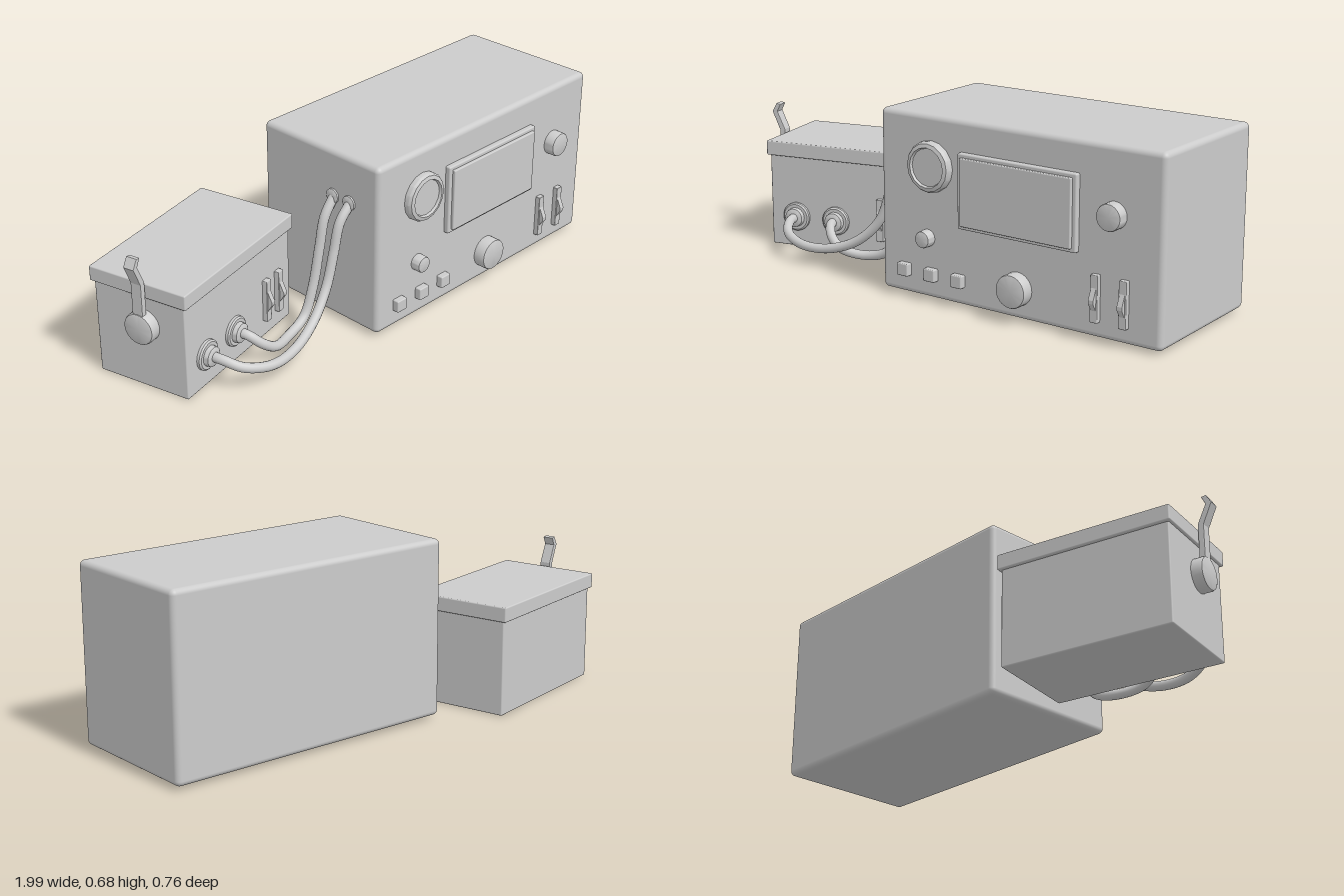
import * as THREE from 'three';
import { RoundedBoxGeometry } from 'three/addons/geometries/RoundedBoxGeometry.js';
import { toCreasedNormals } from 'three/addons/utils/BufferGeometryUtils.js';

const mat = new THREE.MeshStandardMaterial({ color: 0xcccccc, roughness: 0.7 });

function add(parent, name, geometry, x = 0, y = 0, z = 0) {
  const mesh = new THREE.Mesh(geometry, mat);
  mesh.name = name;
  mesh.position.set(x, y, z);
  parent.add(mesh);
  return mesh;
}

const rbox = (w, h, d, r, seg = 3) => new RoundedBoxGeometry(w, h, d, seg, r);

// Solid of revolution whose axis points along +z; profile is [radius, height] pairs
function turned(profile, sides = 32) {
  const g = new THREE.LatheGeometry(profile.map(([r, h]) => new THREE.Vector2(r, h)), sides);
  g.rotateX(Math.PI / 2);
  return toCreasedNormals(g, 0.6);
}

// Round knob with a softened front edge
const knob = (r, d, b = 0.007) => turned([
  [r, 0], [r, d - b], [r - b * 0.3, d - b * 0.3], [r - b, d], [0, d],
]);

// Switch plate with a wedge-shaped lever; origin on the panel
function addSwitch(parent, name, x, y, z) {
  const g = new THREE.Group();
  g.name = name;
  g.position.set(x, y, z);
  add(g, 'switchPlate', rbox(0.03, 0.166, 0.03, 0.003, 1), 0, 0, 0.004);
  const s = new THREE.Shape([[0.016, -0.045], [0.036, -0.012], [0.036, 0.0], [0.016, 0.045]]
    .map(([a, b]) => new THREE.Vector2(a, b)));
  const lever = new THREE.ExtrudeGeometry(s, { depth: 0.02, bevelEnabled: false });
  lever.translate(0, 0, -0.01);
  lever.rotateY(-Math.PI / 2);
  add(g, 'switchLever', lever);
  parent.add(g);
}

function makeConsole() {
  const g = new THREE.Group();
  g.name = 'console';
  const front = 0.333;
  add(g, 'cabinet', rbox(1.16, 0.665, 0.566, 0.02, 4), 0.412, 0.345, 0.05);

  // Raised display
  add(g, 'displayFrame', rbox(0.486, 0.27, 0.04, 0.006, 2), 0.427, 0.43, front);
  add(g, 'displayPanel', rbox(0.456, 0.242, 0.03, 0.004, 2), 0.427, 0.43, front + 0.017);

  // Large faceted dial with a recessed face
  add(g, 'dialRing', turned([
    [0.092, 0], [0.092, 0.018], [0.086, 0.028], [0.072, 0.032], [0.068, 0.022], [0, 0.022],
  ], 16), 0.058, 0.495, front);

  // Knobs: x, y, radius, depth
  [[0.805, 0.445, 0.047, 0.043], [0.425, 0.12, 0.06, 0.047], [0.04, 0.233, 0.031, 0.038]]
    .forEach(([x, y, r, d]) => add(g, 'knob', knob(r, d), x, y, front));

  // Row of push buttons
  for (let i = 0; i < 3; i++) {
    add(g, 'pushButton', rbox(0.048, 0.046, 0.05, 0.004, 2), -0.06 + i * 0.119, 0.102, front);
  }

  for (const x of [0.742, 0.852]) addSwitch(g, 'toggleSwitch', x, 0.152, front);

  // Hose sockets in the left-hand end
  for (const z of [0.195, 0.115]) {
    const socket = add(g, 'hoseSocket', turned([[0.028, 0], [0.028, 0.008], [0.022, 0.012], [0, 0.012]]), -0.167, 0.5, z);
    socket.rotation.y = -Math.PI / 2;
  }
  return g;
}

function makeSupplyBox() {
  const g = new THREE.Group();
  g.name = 'supplyBox';
  g.position.set(-0.624, 0, -0.115);
  g.rotation.y = 0.2376;
  add(g, 'boxBody', rbox(0.64, 0.39, 0.37, 0.005, 2), 0, 0.195, 0);
  add(g, 'boxLid', rbox(0.66, 0.057, 0.396, 0.005, 2), 0, 0.39, 0);

  // Stepped hose connectors
  for (const x of [-0.208, -0.036]) {
    add(g, 'hoseConnector', turned([
      [0.056, 0], [0.056, 0.012], [0.05, 0.017], [0.038, 0.017], [0.036, 0.034], [0.03, 0.038], [0, 0.038],
    ]), x, 0.122, 0.183);
  }
  for (const x of [0.159, 0.237]) addSwitch(g, 'boxSwitch', x, 0.147, 0.185);

  // Crank lever on the left-hand end
  const hub = add(g, 'leverHub', knob(0.06, 0.046, 0.01), -0.316, 0.25, 0.02);
  hub.rotation.y = -Math.PI / 2;
  const outline = [
    [-0.338, 0.25], [-0.338, 0.43], [-0.37, 0.5], [-0.356, 0.528],
    [-0.368, 0.53], [-0.386, 0.5], [-0.354, 0.427], [-0.354, 0.25],
  ].map(([x, y]) => new THREE.Vector2(x, y));
  const arm = new THREE.ExtrudeGeometry(new THREE.Shape(outline), {
    depth: 0.036, bevelEnabled: true, bevelThickness: 0.003, bevelSize: 0.003, bevelSegments: 2,
  });
  add(g, 'leverArm', arm, 0, 0, 0.002);
  return g;
}

function makeHose(points) {
  const curve = new THREE.CatmullRomCurve3(points.map(p => new THREE.Vector3(...p)));
  return new THREE.TubeGeometry(curve, 80, 0.018, 14);
}

export function createModel() {
  const model = new THREE.Group();
  model.name = 'fieldConsole';
  model.add(makeConsole(), makeSupplyBox());

  // Hoses joining the supply box to the console
  add(model, 'outerHose', makeHose([
    [-0.78, 0.122, 0.11], [-0.765, 0.12, 0.175], [-0.72, 0.095, 0.235], [-0.62, 0.073, 0.268],
    [-0.5, 0.075, 0.255], [-0.38, 0.12, 0.225], [-0.29, 0.21, 0.2], [-0.245, 0.33, 0.193],
    [-0.215, 0.44, 0.194], [-0.16, 0.502, 0.195],
  ]));
  add(model, 'innerHose', makeHose([
    [-0.615, 0.122, 0.07], [-0.6, 0.12, 0.125], [-0.565, 0.085, 0.158], [-0.51, 0.05, 0.165],
    [-0.41, 0.033, 0.13], [-0.32, 0.065, 0.116], [-0.27, 0.17, 0.113], [-0.235, 0.32, 0.113],
    [-0.21, 0.43, 0.114], [-0.16, 0.502, 0.115],
  ]));
  return model;
}
